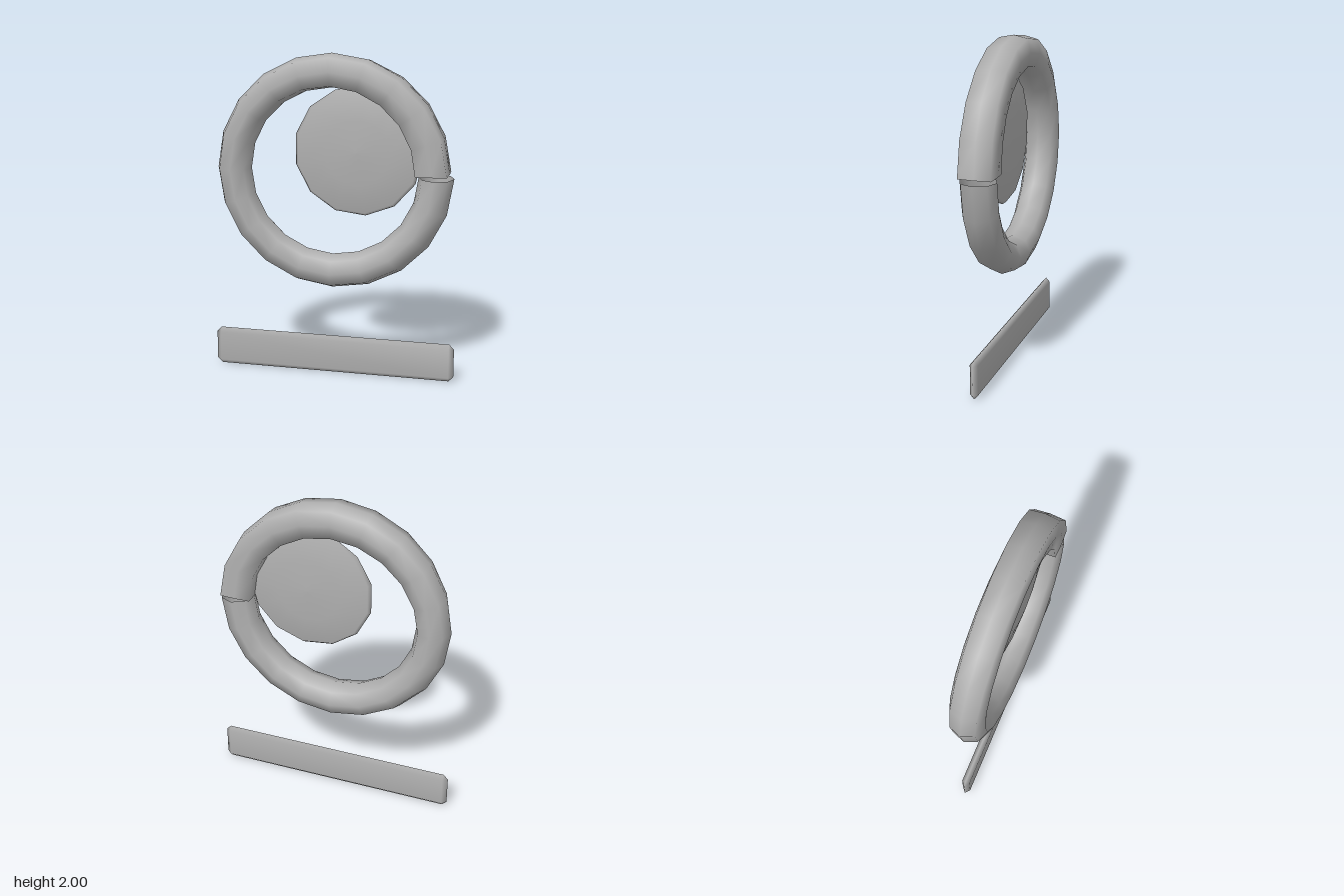
import * as THREE from 'three';
import { ConvexGeometry } from 'three/addons/geometries/ConvexGeometry.js';
import { mergeVertices } from 'three/addons/utils/BufferGeometryUtils.js';

// Open tube bent into one turn: squarish at the upper end, rounder and slightly further out at the lower end
function ringGeometry() {
  const steps = 20, sides = 8, positions = [], index = [];
  for (let i = 0; i <= steps; i++) {
    const t = i / steps;
    const angle = THREE.MathUtils.lerp(0.02, Math.PI * 2 - 0.015, t);
    const radius = 0.605 + 0.02 * t;
    const square = 0.25 * Math.max(0, 1 - 2 * t);
    for (let j = 0; j < sides; j++) {
      const phi = (j / sides) * Math.PI * 2;
      const grow = j % 2 ? 1 + square : 1 - square * 0.3;
      const r = radius + 0.106 * grow * Math.cos(phi);
      positions.push(r * Math.cos(angle), r * Math.sin(angle), 0.111 * grow * Math.sin(phi));
      if (i < steps) {
        const a = i * sides + j, b = i * sides + (j + 1) % sides;
        index.push(a, a + sides, b, b, a + sides, b + sides);
      }
    }
  }
  const geometry = new THREE.BufferGeometry();
  geometry.setAttribute('position', new THREE.Float32BufferAttribute(positions, 3));
  geometry.setIndex(index);
  geometry.computeVertexNormals();
  return geometry;
}

// Thin bar with chamfered corners and a pointed rim, smooth shaded
function barGeometry() {
  const points = [];
  for (const sx of [-1, 1]) for (const sy of [-1, 1]) {
    for (const z of [-0.025, 0.025]) points.push(new THREE.Vector3(sx * 0.725, sy * 0.092, z));
    points.push(new THREE.Vector3(sx * 0.755, sy * 0.09, 0), new THREE.Vector3(sx * 0.725, sy * 0.12, 0));
  }
  let geometry = new ConvexGeometry(points);
  geometry.deleteAttribute('normal');
  geometry = mergeVertices(geometry, 1e-4);
  geometry.computeVertexNormals();
  return geometry;
}

export function createModel() {
  const group = new THREE.Group();
  const grey = new THREE.MeshStandardMaterial({ name: 'grey', color: 0xb0b0b0, side: THREE.DoubleSide });

  const add = (name, geometry, x, y) => {
    const mesh = new THREE.Mesh(geometry, grey);
    mesh.name = name;
    mesh.position.set(x, y, 0);
    group.add(mesh);
  };

  add('splitRing', ringGeometry(), 0, 1.285);

  // Shallow lens set off centre inside the ring
  const profile = [[0, -0.05], [0.2, -0.045], [0.375, -0.022], [0.393, 0], [0.375, 0.022], [0.2, 0.045], [0, 0.05]];
  const lens = new THREE.LatheGeometry(profile.map(([r, h]) => new THREE.Vector2(r, h)), 13);
  lens.rotateX(Math.PI / 2);
  lens.rotateZ(Math.PI / 26);
  add('disc', lens, 0.152, 1.413);

  add('baseBar', barGeometry(), 0, 0.12);
  return group;
}
